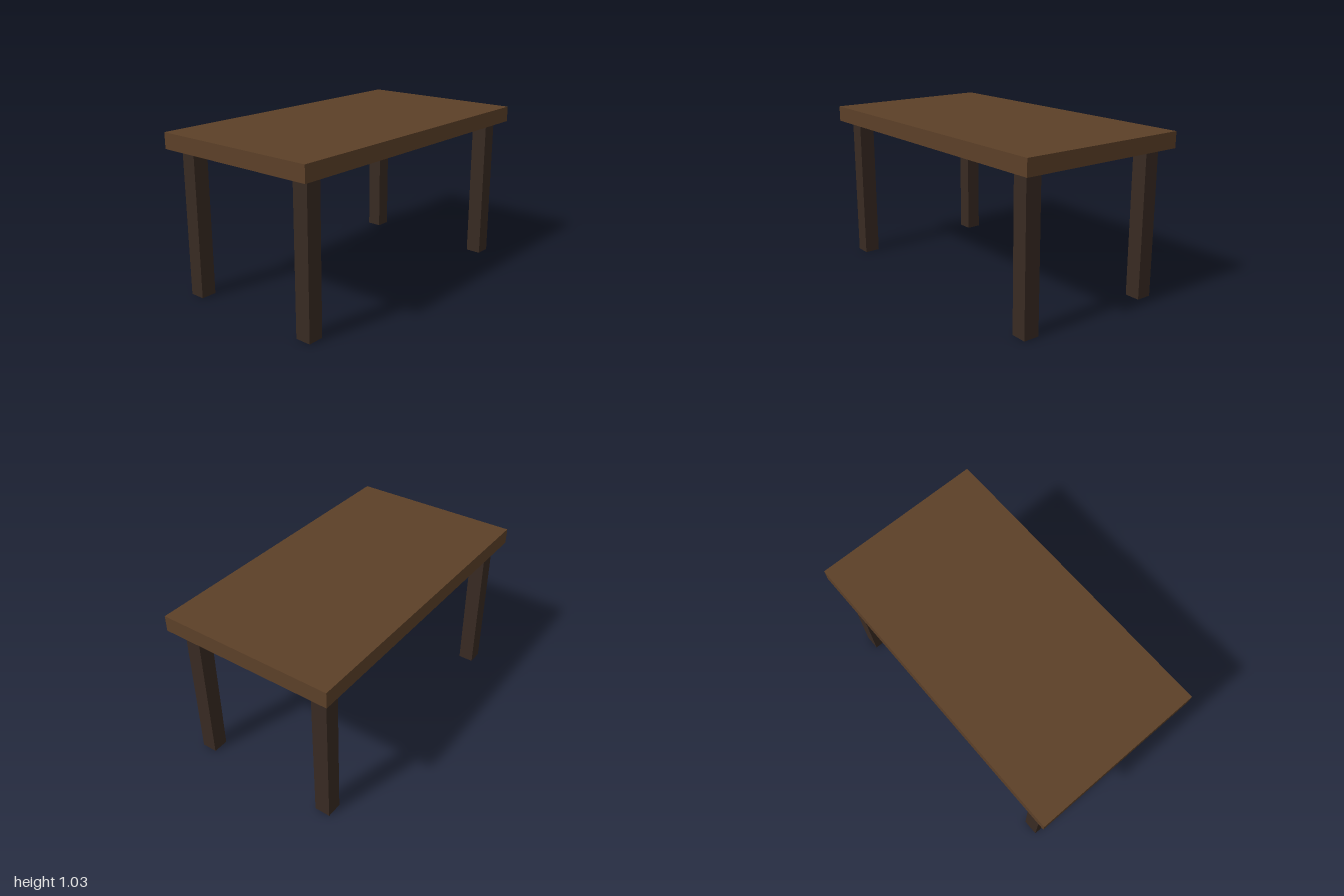
import * as THREE from 'three';

const TOP = { width: 2, depth: 1.12, thickness: 0.1 };
const LEG = { side: 0.1, height: 0.93, x: 0.875, z: 0.45 };

export function createModel() {
  const table = new THREE.Group();
  table.name = 'table';

  const topWood = new THREE.MeshStandardMaterial({ color: 0x5c4028 });
  const legWood = new THREE.MeshStandardMaterial({ color: 0x382a22 });

  // Slab resting on the legs
  const top = new THREE.Mesh(new THREE.BoxGeometry(TOP.width, TOP.thickness, TOP.depth), topWood);
  top.name = 'tableTop';
  top.position.y = LEG.height + TOP.thickness / 2;
  table.add(top);

  // Four square legs, inset from the corners
  const legGeometry = new THREE.BoxGeometry(LEG.side, LEG.height, LEG.side);
  for (const [endName, sz] of [['front', 1], ['back', -1]]) {
    for (const [sideName, sx] of [['Left', 1], ['Right', -1]]) {
      const leg = new THREE.Mesh(legGeometry, legWood);
      leg.name = `${endName}${sideName}Leg`;
      leg.position.set(sx * LEG.x, LEG.height / 2, sz * LEG.z);
      table.add(leg);
    }
  }

  return table;
}
